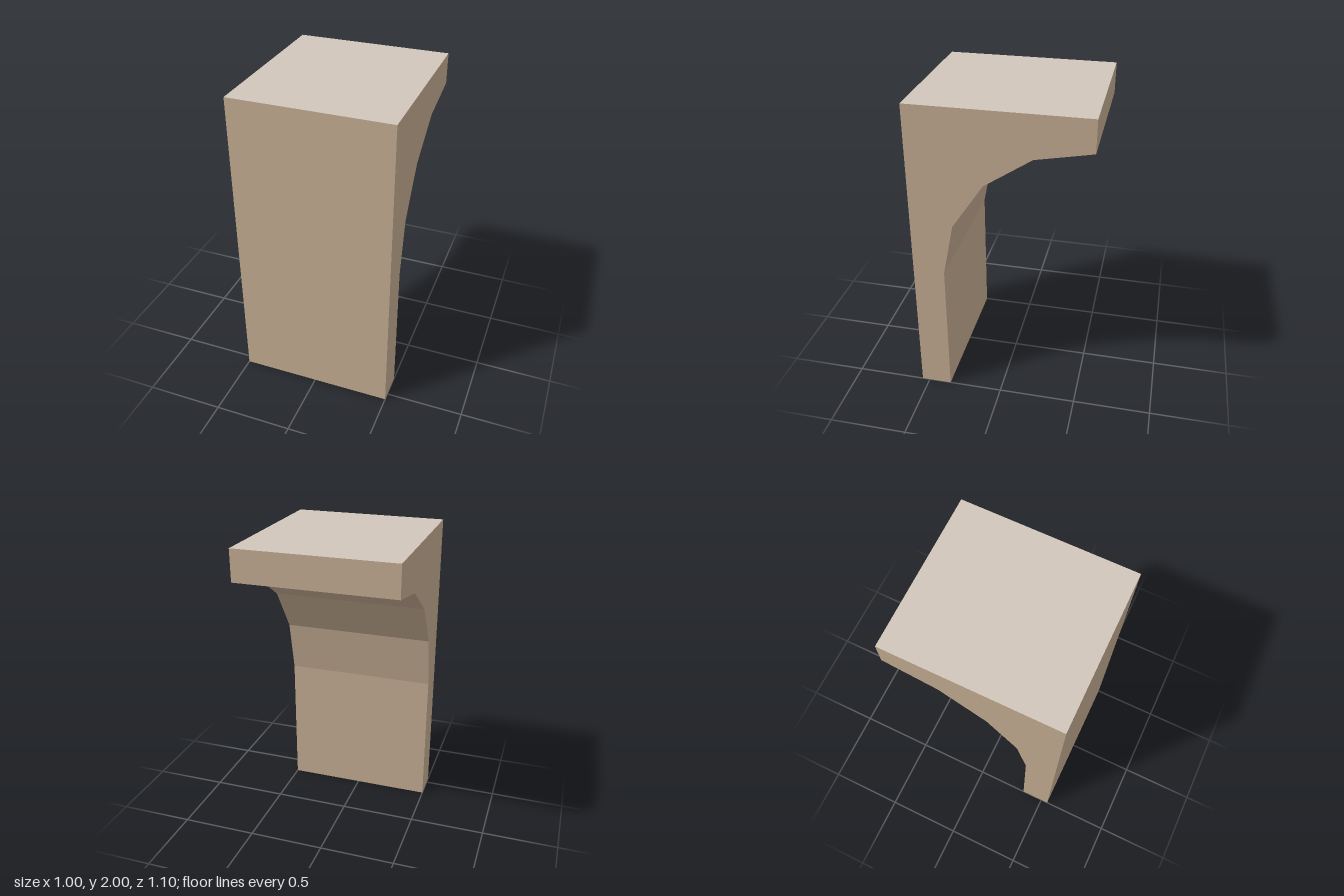
import * as THREE from 'three';

const WIDTH = 1, HEIGHT = 2, FRONT = 0.55, BACK = -0.55;
const RADIUS = 0.9, ARC_Y = 0.9, ARC_STEPS = 4;

export function createModel() {
  const group = new THREE.Group();
  group.name = 'covedWall';

  const wallMaterial = new THREE.MeshStandardMaterial({ color: 0xc2aa90, flatShading: true });
  const topMaterial = new THREE.MeshStandardMaterial({ color: 0xd0c6bb, flatShading: true });

  // Side profile (z, y): upright wall with a faceted cove under the overhang
  const points = [
    new THREE.Vector2(BACK, HEIGHT),
    new THREE.Vector2(FRONT, HEIGHT),
    new THREE.Vector2(FRONT, 0),
    new THREE.Vector2(BACK + RADIUS, 0),
  ];
  for (let i = 0; i <= ARC_STEPS; i++) {
    const a = (i / ARC_STEPS) * Math.PI / 2;
    points.push(new THREE.Vector2(BACK + RADIUS * Math.cos(a), ARC_Y + RADIUS * Math.sin(a)));
  }

  // Extrude across the width and turn the profile to face sideways
  const geometry = new THREE.ExtrudeGeometry(new THREE.Shape(points), { depth: WIDTH, bevelEnabled: false });
  geometry.rotateY(-Math.PI / 2);
  geometry.translate(WIDTH / 2, 0, 0);

  // The upward face takes the paler top colour
  geometry.clearGroups();
  const normals = geometry.attributes.normal;
  for (let i = 0; i < normals.count; i += 3) {
    geometry.addGroup(i, 3, normals.getY(i) > 0.9 ? 1 : 0);
  }

  const wall = new THREE.Mesh(geometry, [wallMaterial, topMaterial]);
  wall.name = 'wallWithOverhang';
  group.add(wall);
  return group;
}
